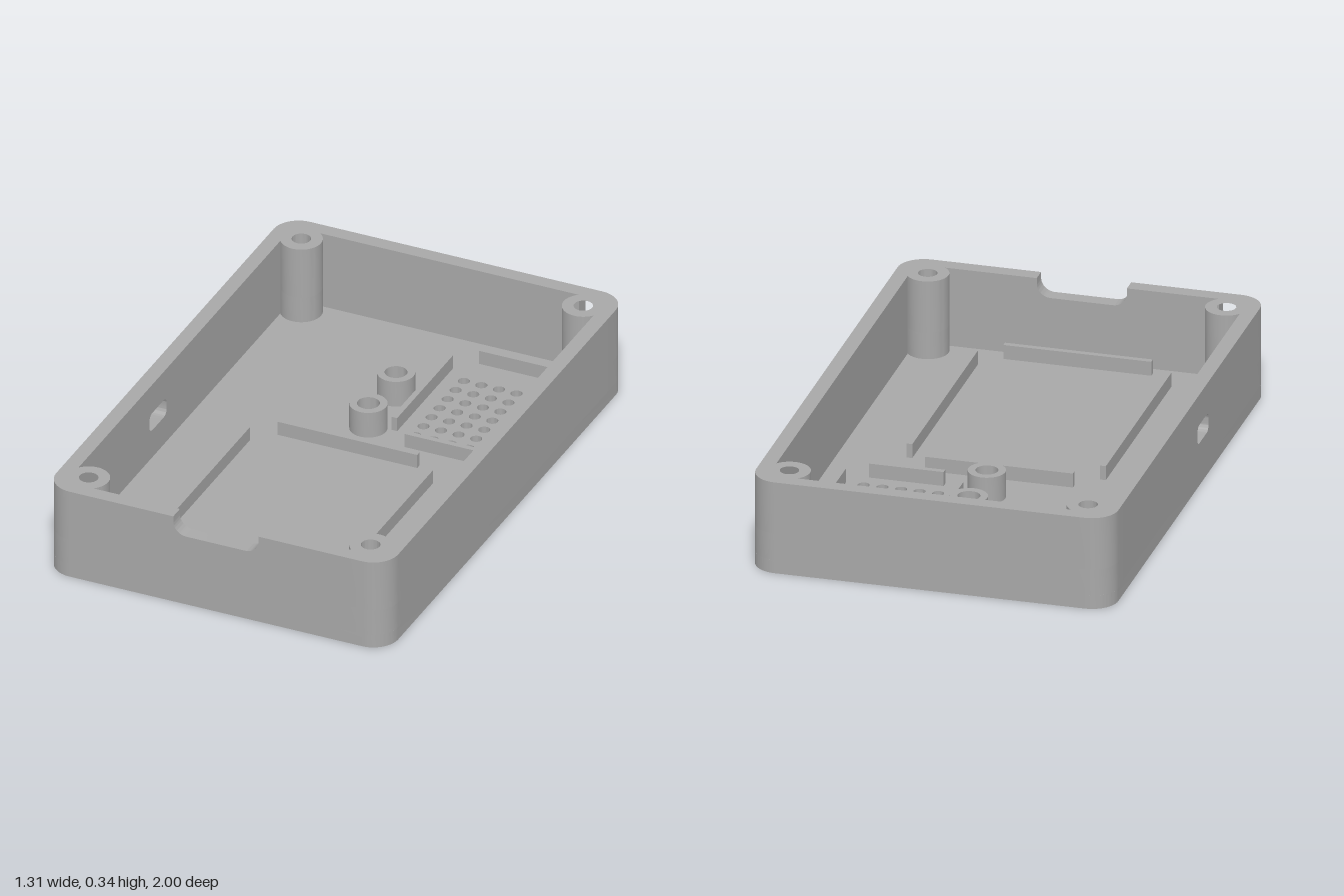
import * as THREE from 'three';
import { toCreasedNormals } from 'three/addons/utils/BufferGeometryUtils.js';

const W = 0.655, L = 1, H = 0.345;      // half width, half length, height
const IX = 0.6, IZ = 0.945;             // inner wall faces
const FLOOR = 0.05, R = 0.095;
const BX = 0.54, BZ = 0.885, BR = 0.075; // corner screw posts
const CUT_X = 0.495, CUT_Z = 0.84;       // where posts meet the straight walls
const BORE = 0.15;                       // top of the wide screw recess

export function createModel() {
  const group = new THREE.Group();
  const grey = new THREE.MeshStandardMaterial({ color: 0xa8a8a8 });
  grey.name = 'grey plastic';

  const add = (name, geo) => {
    const mesh = new THREE.Mesh(geo, grey);
    mesh.name = name;
    group.add(mesh);
    return mesh;
  };
  const extrude = (shape, depth) =>
    new THREE.ExtrudeGeometry(shape, { depth, bevelEnabled: false, curveSegments: 16 });
  // Plan shape (x, z) raised from y0 to y1
  const slab = (name, shape, y0, y1) =>
    add(name, toCreasedNormals(extrude(shape, y1 - y0).rotateX(Math.PI / 2).translate(0, y1, 0), 0.6));
  const circle = (x, z, r) => new THREE.Path().absarc(x, z, r, 0, Math.PI * 2, true);
  const roundRect = (path, x0, y0, x1, y1, r) => {
    path.absarc(x1 - r, y1 - r, r, 0, Math.PI / 2);
    path.absarc(x0 + r, y1 - r, r, Math.PI / 2, Math.PI);
    path.absarc(x0 + r, y0 + r, r, Math.PI, Math.PI * 1.5);
    path.absarc(x1 - r, y0 + r, r, Math.PI * 1.5, Math.PI * 2);
    path.closePath();
    return path;
  };
  const corners = [[1, 1], [-1, 1], [-1, -1], [1, -1]];
  const standoffs = [-0.5, -0.27];

  // Floor with screw recesses, standoff holes and speaker grille
  const floor = roundRect(new THREE.Shape(), -W, -L, W, L, R);
  corners.forEach(([sx, sz]) => floor.holes.push(circle(sx * BX, sz * BZ, 0.062)));
  standoffs.forEach(z => floor.holes.push(circle(0, z, 0.04)));
  for (let i = 0; i < 5; i++)
    for (let j = 0; j < 7; j++)
      floor.holes.push(circle(0.17 + i * 0.0673, -0.694 + j * 0.067, 0.021));
  slab('floor', floor, 0, FLOOR);

  // Corner posts merged with the rounded outer corners
  const arc = (cx, cz, r, a0, a1, n) => Array.from({ length: n + 1 }, (_, i) => {
    const a = a0 + (a1 - a0) * i / n;
    return [cx + r * Math.cos(a), cz + r * Math.sin(a)];
  });
  const a0 = Math.atan2(IZ - BZ, CUT_X - BX);
  const a1 = Math.atan2(CUT_Z - BZ, IX - BX) + Math.PI * 2;
  const outline = [
    [W, CUT_Z], ...arc(W - R, L - R, R, 0, Math.PI / 2, 12), [CUT_X, L],
    ...arc(BX, BZ, BR, a0, a1, 24),
  ];
  corners.forEach(([sx, sz]) => {
    const post = hole => {
      const s = new THREE.Shape(outline.map(([x, z]) => new THREE.Vector2(sx * x, sz * z)));
      s.holes.push(circle(sx * BX, sz * BZ, hole));
      return s;
    };
    slab('cornerPostLower', post(0.062), FLOOR, BORE);
    slab('cornerPostUpper', post(0.034), BORE, H);
  });

  // Straight walls, drawn in elevation
  const panel = half => new THREE.Shape()
    .moveTo(-half, FLOOR).lineTo(half, FLOOR).lineTo(half, H).lineTo(-half, H).closePath();
  const T = L - IZ;
  add('backWall', extrude(panel(CUT_X), T).translate(0, 0, -L));

  // Front wall with a rounded cable notch in its rim
  const nx = 0.163, ny = 0.275, nr = 0.05;
  const front = new THREE.Shape();
  front.moveTo(-CUT_X, FLOOR).lineTo(CUT_X, FLOOR).lineTo(CUT_X, H).lineTo(nx, H);
  front.absarc(nx - nr, ny + nr, nr, 0, -Math.PI / 2, true);
  front.absarc(-nx + nr, ny + nr, nr, -Math.PI / 2, -Math.PI, true);
  front.lineTo(-nx, H).lineTo(-CUT_X, H).closePath();
  add('frontWall', toCreasedNormals(extrude(front, T).translate(0, 0, IZ), 0.6));

  // Side walls, the right one with a small port slot
  const sideWall = (name, shape, x) =>
    add(name, toCreasedNormals(extrude(shape, W - IX).rotateY(-Math.PI / 2).translate(x, 0, 0), 0.6));
  sideWall('leftWall', panel(CUT_Z), W);
  const slotted = panel(CUT_Z);
  slotted.holes.push(roundRect(new THREE.Path(), 0.105, 0.16, 0.25, 0.23, 0.025));
  sideWall('rightWall', slotted, -IX);

  // Hollow standoffs
  standoffs.forEach(z => {
    const ring = new THREE.Shape().absarc(0, z, 0.067, 0, Math.PI * 2);
    ring.holes.push(circle(0, z, 0.04));
    slab('standoff', ring, FLOOR, 0.15);
  });

  // Locating ribs on the floor: centre x, centre z, size x, size z
  const RIB = 0.053, t = 0.021;
  [
    [-0.35, 0.397, t, 0.84], [0.35, 0.397, t, 0.84],
    [0, -0.105, 0.535, t], [0, 0.897, 0.535, t],
    [0.09, -0.522, t, 0.463], [0.515, -0.522, t, 0.463],
    [0.304, -0.832, 0.27, t], [0.304, -0.215, 0.27, t],
  ].forEach(([x, z, w, d]) =>
    add('rib', new THREE.BoxGeometry(w, RIB, d)).position.set(x, FLOOR + RIB / 2, z));

  return group;
}
